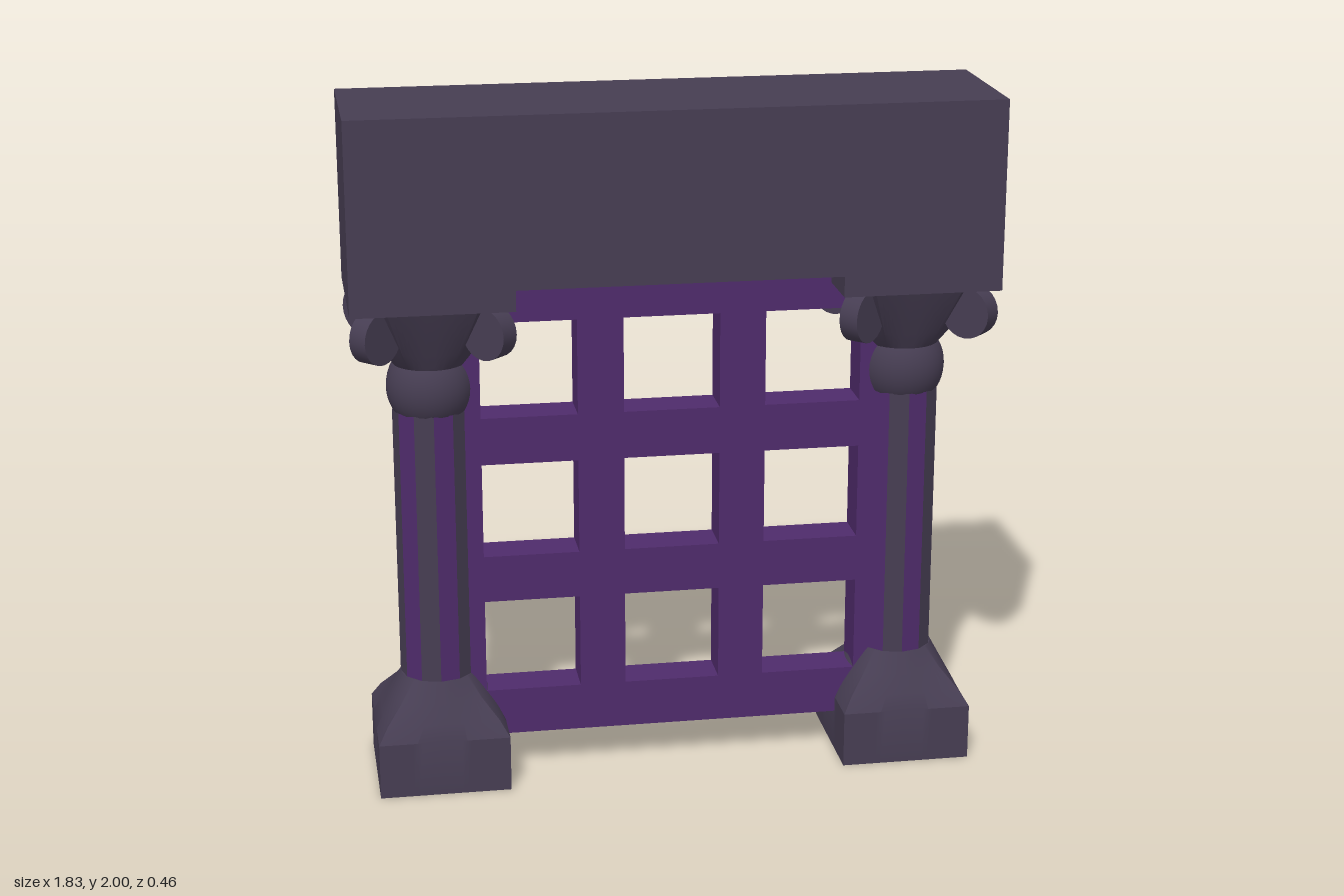
import * as THREE from 'three';
import { mergeGeometries, toCreasedNormals } from 'three/addons/utils/BufferGeometryUtils.js';

const stone = new THREE.MeshStandardMaterial({ color: 0x463d52 });
const purple = new THREE.MeshStandardMaterial({ color: 0x4f2b6b });

function add(parent, name, geometry, material) {
  const mesh = new THREE.Mesh(geometry, material);
  mesh.name = name;
  parent.add(mesh);
  return mesh;
}

// Loft of sections [y, half width, squareness 0..1, corner cut 0..1 (1 = sharp square)]
function loft(sections) {
  const n = 96, pos = [], idx = [];
  for (const [y, h, square, cut] of sections) {
    for (let j = 0; j < n; j++) {
      const a = (j / n) * Math.PI * 2, s = Math.sin(a), c = Math.cos(a);
      const as = Math.abs(s), ac = Math.abs(c);
      const poly = h / Math.max(as, ac, (as + ac) / (1 + cut));
      const r = h + (poly - h) * square;
      pos.push(r * s, y, r * c);
    }
  }
  for (let i = 0; i < sections.length - 1; i++) {
    for (let j = 0; j < n; j++) {
      const a = i * n + j, b = i * n + (j + 1) % n;
      idx.push(a, b, b + n, a, b + n, a + n);
    }
  }
  // end caps
  const top = (sections.length - 1) * n;
  for (let j = 1; j < n - 1; j++) {
    idx.push(0, j + 1, j, top, top + j, top + j + 1);
  }
  const g = new THREE.BufferGeometry();
  g.setAttribute('position', new THREE.Float32BufferAttribute(pos, 3));
  g.setIndex(idx);
  return toCreasedNormals(g, 0.45);
}

// Alternate facets of a twelve-sided shaft
function shaftFacets(parity) {
  const step = Math.PI / 6, facets = [];
  for (let i = parity; i < 12; i += 2) {
    const g = new THREE.CylinderGeometry(0.11, 0.11, 0.83, 1, 1, true, i * step, step).toNonIndexed();
    g.computeVertexNormals();
    facets.push(g);
  }
  return mergeGeometries(facets).translate(0, 0.71, 0);
}

function createColumn() {
  const column = new THREE.Group();

  // square foot easing into the round shaft
  add(column, 'columnBase', loft([
    [0, 0.19, 1, 1], [0.165, 0.19, 1, 1], [0.21, 0.17, 0.85, 1],
    [0.265, 0.14, 0.4, 1], [0.32, 0.11, 0, 1],
  ]), stone);

  add(column, 'shaftPurpleStripes', shaftFacets(0), purple);
  add(column, 'shaftStoneStripes', shaftFacets(1), stone);

  // bulging neck ring
  const profile = [new THREE.Vector2(0, 1.105)];
  for (let i = 0; i <= 10; i++) {
    const a = (i / 10 - 0.5) * 1.4;
    profile.push(new THREE.Vector2(0.125 * Math.cos(a), 1.19 + 0.132 * Math.sin(a)));
  }
  add(column, 'neckRing', new THREE.LatheGeometry(profile, 32), stone);

  // flaring capital with cut corners
  add(column, 'capital', loft([
    [1.26, 0.105, 0, 0.668], [1.31, 0.13, 0.6, 0.668], [1.455, 0.19, 1, 0.668],
  ]), stone);

  // scroll on each corner of the capital
  for (let i = 0; i < 4; i++) {
    const corner = new THREE.Group();
    corner.name = 'scrollCorner';
    corner.rotation.y = Math.PI / 4 + i * Math.PI / 2;
    const scroll = add(corner, 'scroll',
      toCreasedNormals(new THREE.CylinderGeometry(0.075, 0.075, 0.057, 24), 0.6), stone);
    scroll.rotation.z = Math.PI / 2;
    scroll.position.set(0, 1.38, 0.222);
    column.add(corner);
  }
  return column;
}

function rectanglePath(path, x0, y0, x1, y1) {
  path.moveTo(x0, y0);
  path.lineTo(x1, y0);
  path.lineTo(x1, y1);
  path.lineTo(x0, y1);
  path.closePath();
  return path;
}

export function createModel() {
  const model = new THREE.Group();
  model.name = 'columnGate';

  // columns
  for (const side of [1, -1]) {
    const column = createColumn();
    column.name = side > 0 ? 'leftColumn' : 'rightColumn';
    column.position.x = side * 0.686;
    model.add(column);
  }

  // lintel with a shallow recess over the grille
  const lintel = new THREE.Shape([
    [-0.915, 1.455], [-0.46, 1.455], [-0.46, 1.515], [0.46, 1.515],
    [0.46, 1.455], [0.915, 1.455], [0.915, 2], [-0.915, 2],
  ].map(([x, y]) => new THREE.Vector2(x, y)));
  add(model, 'lintel', new THREE.ExtrudeGeometry(lintel, { depth: 0.454, bevelEnabled: false })
    .translate(0, 0, -0.227), stone);

  // grille with nine square openings
  const grille = rectanglePath(new THREE.Shape(), -0.686, 0.12, 0.686, 1.515);
  for (let row = 0; row < 3; row++) {
    for (let col = -1; col <= 1; col++) {
      const x = col * 0.411, y = 0.4 + row * 0.419;
      grille.holes.push(rectanglePath(new THREE.Path(), x - 0.139, y - 0.14, x + 0.139, y + 0.14));
    }
  }
  add(model, 'grille', new THREE.ExtrudeGeometry(grille, { depth: 0.12, bevelEnabled: false })
    .translate(0, 0, -0.06), purple);

  return model;
}
